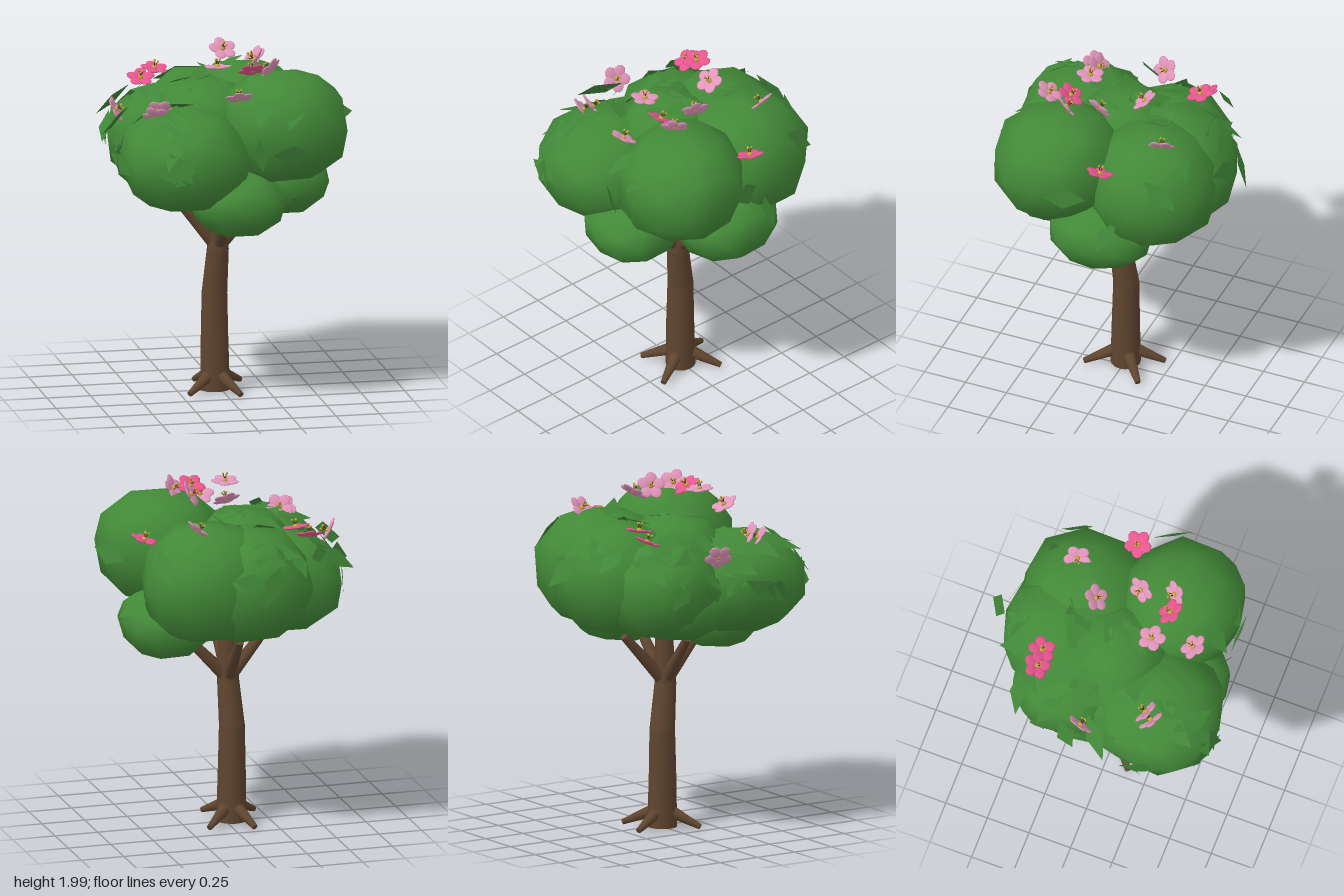
import * as THREE from 'three';
import { mergeVertices } from 'three/addons/utils/BufferGeometryUtils.js';

const V = (x, y, z) => new THREE.Vector3(x, y, z);
const UP = V(0, 1, 0);
const FORWARD = V(0, 0, 1);

function mat(name, color, side = THREE.FrontSide) {
  const m = new THREE.MeshStandardMaterial({ color, side });
  m.name = name;
  return m;
}

// small seeded generator
function seeded(seed) {
  return () => {
    seed = (seed * 16807) % 2147483647;
    return seed / 2147483647;
  };
}

// foliage masses: name, centre, radii
const BLOBS = [
  ['foliageFrontLeft', V(0.3, 1.585, 0.27), V(0.36, 0.315, 0.35)],
  ['foliageFrontRight', V(-0.28, 1.44, 0.34), V(0.365, 0.29, 0.375)],
  ['foliageBackLeft', V(0.19, 1.5, -0.26), V(0.36, 0.34, 0.37)],
  ['foliageBack', V(-0.05, 1.48, -0.3), V(0.35, 0.32, 0.355)],
  ['foliageBackRight', V(-0.25, 1.45, -0.17), V(0.365, 0.29, 0.33)],
  ['foliageMiddle', V(-0.1, 1.55, 0.03), V(0.3, 0.27, 0.3)],
  ['foliageLowRight', V(-0.25, 1.34, -0.06), V(0.34, 0.19, 0.32)],
  ['foliageLowFront', V(0.01, 1.18, 0.38), V(0.265, 0.18, 0.265)],
  ['foliageLowSide', V(0.35, 1.22, -0.02), V(0.255, 0.195, 0.3)],
];

// how far p is from a blob's centre, 1 meaning on its surface
const depth = (p, [, c, r]) => p.clone().sub(c).divide(r).length();

export function createModel() {
  const tree = new THREE.Group();
  tree.name = 'floweringTree';
  const bark = mat('bark', 0x5f452f);
  const green = mat('foliageGreen', 0x438a38);
  const leafGreen = mat('leafGreen', 0x418738, THREE.DoubleSide);
  const palePink = mat('palePink', 0xe295bb);
  const hotPink = mat('hotPink', 0xec5792);
  const yellow = mat('pollenYellow', 0xc9a63a);
  const dark = mat('stamenBrown', 0x4a2c1c);
  const rand = seeded(77);

  const add = (parent, name, geo, material) => {
    const m = new THREE.Mesh(geo, material);
    m.name = name;
    parent.add(m);
    return m;
  };

  // tapered limb between two points
  function limb(parent, name, a, b, ra, rb, material = bark, sides = 12) {
    const d = b.clone().sub(a);
    const m = add(parent, name, new THREE.CylinderGeometry(rb, ra, d.length(), sides), material);
    m.position.copy(a).addScaledVector(d, 0.5);
    m.quaternion.setFromUnitVectors(UP, d.normalize());
  }

  // trunk in stacked, slightly bent sections that overlap a little
  const trunk = [
    [V(-0.035, 0.015, 0), 0.085], [V(-0.038, 0.3, 0), 0.079],
    [V(-0.038, 0.57, -0.002), 0.073], [V(-0.025, 0.83, 0.028), 0.062],
    [V(-0.02, 1.15, 0.02), 0.05],
  ];
  for (let i = 0; i < trunk.length - 1; i++) {
    const [a, ra] = trunk[i];
    const [b, rb] = trunk[i + 1];
    limb(tree, 'trunkSection', a, a.clone().lerp(b, 1.04), ra, rb, bark, 16);
  }

  // branches into the crown
  for (const [x, z] of [[0.25, 0.02], [-0.26, 0.02], [-0.01, 0.29], [-0.01, -0.24]]) {
    limb(tree, 'branch', V(-0.025, 0.84, 0.025), V(x, 1.13, z), 0.04, 0.025);
  }

  // roots
  for (const [x, z] of [[0.07, 0.21], [-0.21, 0.14], [-0.11, -0.21], [0.14, -0.15]]) {
    limb(tree, 'root', V(-0.035 + (x + 0.035) * 0.25, 0.1, z * 0.25), V(x, 0.025, z), 0.036, 0.016);
  }

  // coarse foliage masses, swollen but held within their radii
  for (const [name, c, r] of BLOBS) {
    let geo = new THREE.IcosahedronGeometry(1, 1);
    geo.deleteAttribute('normal');
    geo.deleteAttribute('uv');
    geo = mergeVertices(geo, 1e-3);
    const p = geo.attributes.position;
    for (let i = 0; i < p.count; i++) {
      const v = new THREE.Vector3().fromBufferAttribute(p, i)
        .multiplyScalar(1.03 + rand() * 0.07).clampScalar(-1, 1).multiply(r);
      p.setXYZ(i, v.x, v.y, v.z);
    }
    geo.computeVertexNormals();
    add(tree, name, geo, green).position.copy(c);
  }

  // flat diamond leaves lying on the foliage
  const leafShape = new THREE.Shape([[0, -0.1], [0.05, 0.0], [0, 0.1], [-0.05, 0.0]]
    .map(([x, y]) => new THREE.Vector2(x, y)));
  const leafGeo = new THREE.ShapeGeometry(leafShape);
  const leaves = new THREE.Group();
  leaves.name = 'leaves';
  tree.add(leaves);
  function leaf(p, tilt) {
    const [, c, r] = BLOBS.reduce((a, b) => (depth(p, b) < depth(p, a) ? b : a));
    const n = p.clone().sub(c).divide(r).divide(r).normalize();
    n.add(V(rand() - 0.5, rand() - 0.5, rand() - 0.5).multiplyScalar(tilt)).normalize();
    const m = add(leaves, 'leaf', leafGeo, leafGreen);
    m.position.copy(p);
    m.quaternion.setFromUnitVectors(FORWARD, n);
    m.rotateZ(rand() * Math.PI);
    m.scale.setScalar(0.95 + rand() * 0.5);
  }
  // leaves along the outline
  for (const [x, y, z] of [
    [0.66, 1.61, 0.08], [0.58, 1.35, -0.14], [0.49, 1.66, -0.43], [0.36, 1.72, -0.48],
    [-0.07, 1.57, -0.69], [-0.54, 1.62, -0.4], [-0.65, 1.55, -0.07], [-0.45, 1.4, 0.66],
    [-0.33, 1.48, 0.7], [0.1, 1.5, 0.61], [0.28, 1.5, 0.62], [0.12, 1.74, 0.55],
    [0.3, 1.73, 0.58], [-0.42, 1.56, 0.66], [0.3, 1.12, 0.2], [-0.63, 1.62, 0.1],
  ]) leaf(V(x, y, z), 0.5);
  // leaves scattered on the upper side, thickest toward the model's right
  for (let tries = 0, made = 0; tries < 900 && made < 38; tries++) {
    const b = BLOBS[Math.floor(rand() * 5)];
    const az = rand() * Math.PI * 2;
    const el = -0.1 + rand() * 1.4;
    const p = V(Math.cos(az) * Math.cos(el), Math.sin(el), Math.sin(az) * Math.cos(el))
      .multiply(b[2]).multiplyScalar(1.02).add(b[1]);
    if (p.x > 0.15 || (p.z > 0.3 && p.x > -0.3)) continue;
    if (BLOBS.some((o) => o !== b && depth(p, o) < 1)) continue;
    leaf(p, 0.5);
    made++;
  }
  // leaves filling the hollow in the middle of the crown
  for (let i = 0; i < 14; i++) {
    const x = -0.42 + rand() * 0.42;
    leaf(V(x, 1.85 + x * 0.3 - rand() * 0.05, -0.14 + rand() * 0.32), 0.6);
  }

  // five-petalled flowers
  const petalGeo = new THREE.SphereGeometry(1, 10, 6);
  const centreGeo = new THREE.SphereGeometry(0.015, 10, 8);
  const tipGeo = new THREE.SphereGeometry(0.007, 6, 5);
  function flower(x, y, z, nx, ny, nz, petalMat) {
    const g = new THREE.Group();
    g.name = 'flower';
    g.position.set(x, y, z);
    g.quaternion.setFromUnitVectors(UP, V(nx, ny, nz).normalize());
    g.rotateY(rand() * 6);
    for (let i = 0; i < 5; i++) {
      const a = (i / 5) * Math.PI * 2;
      const petal = add(g, 'petal', petalGeo, petalMat);
      petal.scale.set(0.039, 0.008, 0.034);
      petal.position.set(Math.cos(a) * 0.043, 0.003, Math.sin(a) * 0.043);
      petal.rotation.set(0, -a, 0.12);
    }
    add(g, 'flowerCentre', centreGeo, yellow).position.y = 0.006;
    for (let i = 0; i < 3; i++) {
      const a = (i / 3) * Math.PI * 2;
      const end = V(Math.cos(a) * 0.014, 0.045, Math.sin(a) * 0.014);
      limb(g, 'stamen', V(0, 0.01, 0), end, 0.0025, 0.0025, dark, 5);
      add(g, 'stamenTip', tipGeo, yellow).position.copy(end);
    }
    tree.add(g);
  }
  for (const f of [
    [0.04, 1.94, -0.15, 0.1, 0.8, 0.6], [0.185, 1.92, 0.07, -0.8, 0.5, -0.35],
    [0.23, 1.91, 0.255, -0.6, 0.5, -0.55], [0.265, 1.83, -0.345, -0.7, 0.65, 0.2],
    [-0.07, 1.93, 0.23, 0, 1, -0.1], [0.01, 1.8, 0.45, 0, 0.85, -0.5],
    [-0.45, 1.7, 0.37, 0.3, 0.65, -0.7], [-0.42, 1.72, 0.33, 0.2, 0.55, -0.8],
    [-0.61, 1.66, 0, 0.8, 0.45, 0.3],
  ]) flower(...f, palePink);
  for (const f of [
    [0.12, 1.91, 0.27, 0, 0.8, -0.55], [0.5, 1.72, -0.07, -0.35, 1, -0.1],
    [-0.39, 1.75, -0.34, -0.05, 0.9, 0.4], [-0.31, 1.8, -0.34, 0.1, 1, 0.2],
  ]) flower(...f, hotPink);

  return tree;
}
